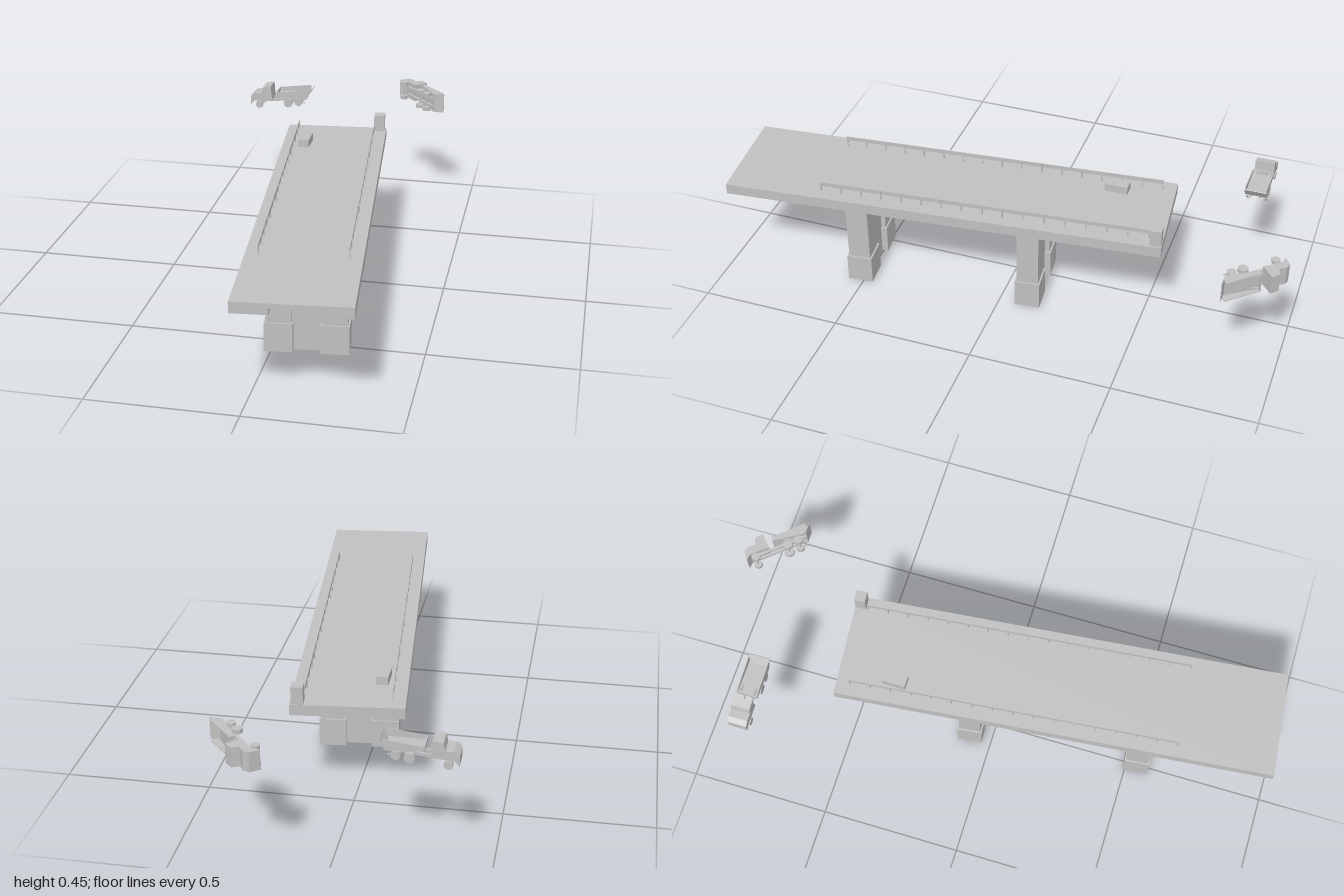
import * as THREE from 'three';

const concrete = new THREE.MeshStandardMaterial({ color: 0xc0c0c0, side: THREE.DoubleSide, flatShading: true });
concrete.name = 'concreteGrey';

function add(parent, name, geometry, x = 0, y = 0, z = 0) {
  const mesh = new THREE.Mesh(geometry, concrete);
  mesh.name = name;
  mesh.position.set(x, y, z);
  parent.add(mesh);
  return mesh;
}

// Box given by its lower and upper limits on each axis
function block(parent, name, x0, x1, y0, y1, z0, z1) {
  return add(parent, name, new THREE.BoxGeometry(x1 - x0, y1 - y0, z1 - z0),
    (x0 + x1) / 2, (y0 + y1) / 2, (z0 + z1) / 2);
}

// Hollow block with its bottom face left out
function openBlock(parent, name, w, d, x, y0, y1) {
  const g = new THREE.BoxGeometry(w, y1 - y0, d);
  g.setIndex(Array.from(g.index.array).filter((_, i) => i < 18 || i >= 24));
  g.clearGroups();
  return add(parent, name, g, x, (y0 + y1) / 2, 0);
}

// Side profile extruded across z
function profile(parent, name, points, width, z = 0) {
  const shape = new THREE.Shape(points.map(([x, y]) => new THREE.Vector2(x, y)));
  const g = new THREE.ExtrudeGeometry(shape, { depth: width, bevelEnabled: false });
  g.translate(0, 0, -width / 2);
  return add(parent, name, g, 0, 0, z);
}

// Slanted beam between two points of the side profile
function beam(parent, name, [x0, y0], [x1, y1], thick, width, z = 0) {
  const m = add(parent, name, new THREE.BoxGeometry(Math.hypot(x1 - x0, y1 - y0), thick, width),
    (x0 + x1) / 2, (y0 + y1) / 2, z);
  m.rotation.z = Math.atan2(y1 - y0, x1 - x0);
  return m;
}

function createPier(z) {
  const pier = new THREE.Group();
  pier.name = 'pier';
  pier.position.z = z;
  for (const s of [-1, 1]) {
    const x = s * 0.093;
    openBlock(pier, 'columnBase', 0.096, 0.09, x, 0, 0.103);
    openBlock(pier, 'columnShaft', 0.084, 0.078, x, 0.103, 0.325);
    const bearing = new THREE.CylinderGeometry(0.0255, 0.039, 0.022, 4);
    bearing.rotateY(Math.PI / 4);
    add(pier, 'bearing', bearing, x, 0.335, 0);
  }
  openBlock(pier, 'web', 0.104, 0.045, 0, 0, 0.3);
  return pier;
}

function createTruck() {
  const truck = new THREE.Group();
  truck.name = 'truck';
  profile(truck, 'cab', [[-0.12, -0.041], [-0.104, -0.024], [-0.07, -0.02], [-0.032, -0.018],
    [-0.036, 0.01], [-0.038, 0.04], [-0.07, 0.034], [-0.076, 0.008], [-0.103, 0.008], [-0.12, -0.005]], 0.068);
  // Chassis and lifting struts
  for (const s of [-1, 1]) {
    beam(truck, 'chassisRail', [-0.075, -0.026], [0.105, -0.006], 0.01, 0.008, s * 0.015);
    beam(truck, 'strut', [-0.012, 0.015], [0.1, -0.024], 0.004, 0.005, s * 0.025);
  }
  // Open load bed
  const side = [[-0.013, 0.003], [0.1, -0.005], [0.115, 0.012], [0.115, 0.034], [-0.013, 0.017]];
  for (const s of [-1, 1]) profile(truck, 'bedSide', side, 0.003, s * 0.036);
  beam(truck, 'bedFloor', [-0.013, 0.004], [0.106, 0.004], 0.004, 0.072);
  beam(truck, 'bedFrontWall', [-0.012, 0.002], [-0.013, 0.019], 0.004, 0.074);
  beam(truck, 'tailgate', [0.106, -0.002], [0.128, 0.03], 0.003, 0.074);
  // Wheels and axles
  for (const [x, y, r] of [[-0.086, -0.039, 0.015], [0.033, -0.026, 0.018], [0.075, -0.02, 0.016]]) {
    for (const s of [-1, 1]) {
      const wheel = new THREE.CylinderGeometry(r, r, 0.014, 8);
      wheel.rotateX(Math.PI / 2);
      add(truck, 'wheel', wheel, x, y, s * 0.029);
    }
    const axle = new THREE.CylinderGeometry(0.003, 0.003, 0.05, 6);
    axle.rotateX(Math.PI / 2);
    add(truck, 'axle', axle, x, y, 0);
  }
  return truck;
}

export function createModel() {
  const model = new THREE.Group();
  model.name = 'bridgeScene';

  const bridge = new THREE.Group();
  bridge.name = 'bridge';
  bridge.position.set(0.083, 0, 0.212);
  bridge.rotation.y = 0.096;
  model.add(bridge);

  // Deck slab with side strips and cross blocks framing the recessed underside
  block(bridge, 'deckSlab', -0.1875, 0.1875, 0.365, 0.383, -0.77, 0.77);
  for (const s of [-1, 1]) {
    const a = s * 0.068, b = s * 0.1875;
    block(bridge, 'deckSideStrip', Math.min(a, b), Math.max(a, b), 0.345, 0.365, -0.77, 0.77);
  }
  for (const [z0, z1] of [[0.27, 0.35], [-0.01, 0.02], [-0.35, -0.26], [-0.77, -0.68]])
    block(bridge, 'deckCrossBlock', -0.068, 0.068, 0.345, 0.365, z0, z1);

  bridge.add(createPier(0.314), createPier(-0.303));

  // Railings
  for (const s of [-1, 1]) {
    const x = s * 0.144;
    block(bridge, 'handRail', x - 0.001, x + 0.001, 0.405, 0.42, -0.725, 0.435);
    for (let i = 0; i < 17; i++) {
      const z = -0.722 + i * 0.0721;
      block(bridge, 'railPost', x - 0.002, x + 0.002, 0.383, 0.42, z - 0.002, z + 0.002);
    }
  }

  // Boxes on the deck
  block(bridge, 'cornerBox', 0.142, 0.182, 0.383, 0.445, -0.768, -0.73);
  block(model, 'deckBox', -0.096, -0.055, 0.383, 0.412, -0.385, -0.303);

  // One truck upright, one rolled onto its side
  const upright = createTruck();
  upright.position.set(-0.27, 0.41, -0.812);
  const rolled = createTruck();
  rolled.name = 'rolledTruck';
  rolled.quaternion.setFromRotationMatrix(new THREE.Matrix4().makeBasis(
    new THREE.Vector3(0.5694, 0, 0.8221), new THREE.Vector3(0.8221, 0, -0.5694), new THREE.Vector3(0, 1, 0)));
  rolled.position.set(0.29, 0.413, -0.904);
  model.add(upright, rolled);
  return model;
}
